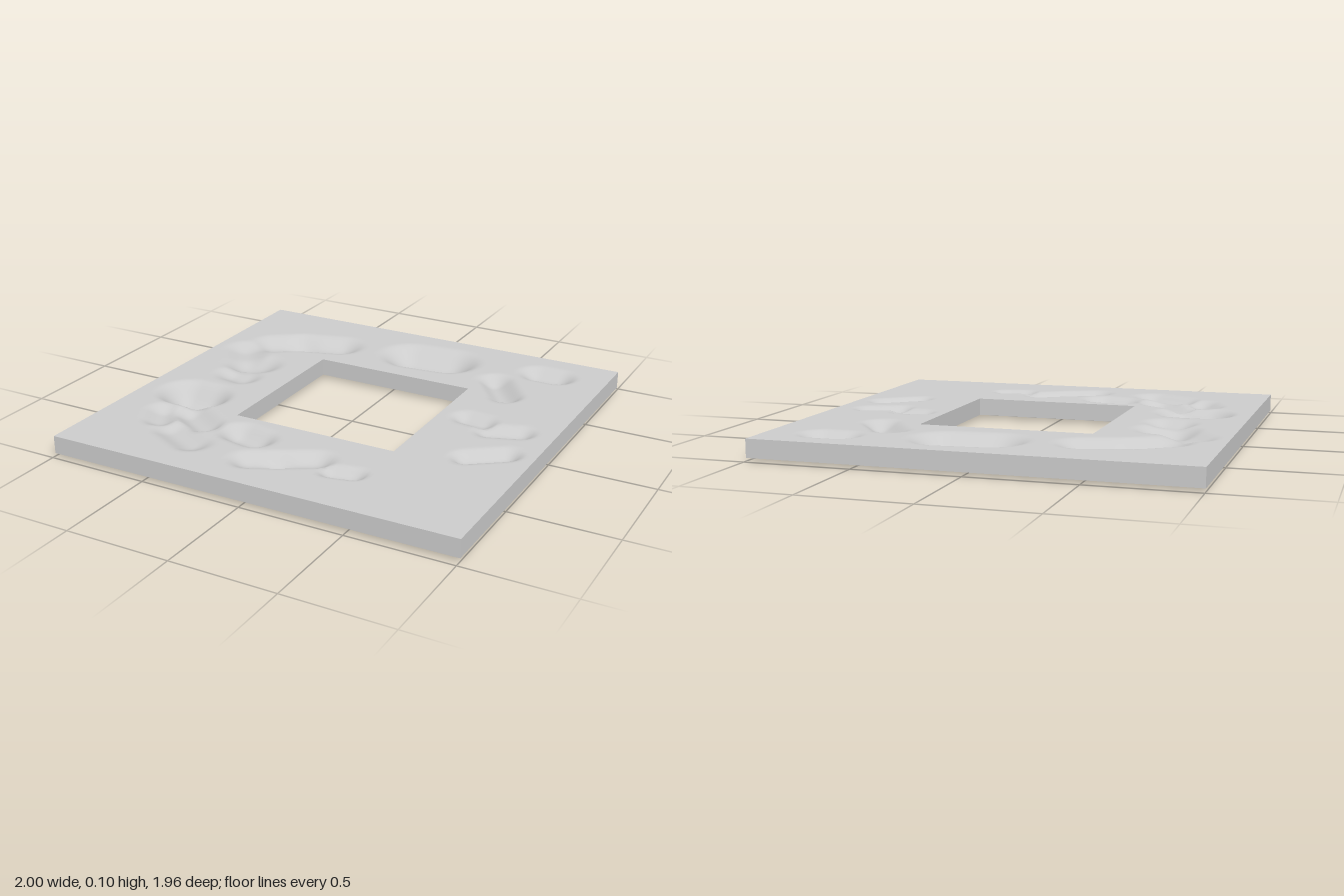
import * as THREE from 'three';
import { mergeGeometries, mergeVertices } from 'three/addons/utils/BufferGeometryUtils.js';

const TOP = 0.1, RIM = 0.015;
const X = [-1, -0.4, 0.42, 1];          // outer edge, opening, opening, outer edge
const Z = [-0.98, -0.42, 0.39, 0.972];

// Dents pressed into the top: [x1, z1, x2, z2, radius, depth]
const DENTS = [
  [-0.42, -0.64, -0.62, -0.58, 0.14, 0.05],
  [-0.62, -0.58, -0.74, -0.5, 0.14, 0.045],
  [-0.02, -0.69, 0.18, -0.71, 0.18, 0.08],
  [0.65, -0.77, 0.75, -0.77, 0.11, 0.045],
  [0.5, -0.58, 0.61, -0.43, 0.1, 0.05],
  [0.55, -0.1, 0.64, -0.09, 0.08, 0.035],
  [0.7, -0.01, 0.84, -0.06, 0.08, 0.035],
  [0.72, 0.29, 0.87, 0.18, 0.08, 0.04],
  [-0.83, -0.36, -0.72, -0.2, 0.13, 0.035],
  [-0.72, -0.2, -0.66, -0.21, 0.14, 0.045],
  [-0.7, -0.04, -0.64, -0.03, 0.11, 0.035],
  [-0.77, 0.27, -0.68, 0.27, 0.16, 0.1],
  [-0.62, 0.45, -0.49, 0.53, 0.11, 0.05],
  [-0.74, 0.5, -0.7, 0.58, 0.1, 0.035],
  [-0.58, 0.65, -0.42, 0.73, 0.11, 0.035],
  [-0.29, 0.54, -0.19, 0.56, 0.11, 0.055],
  [-0.1, 0.76, 0.02, 0.7, 0.1, 0.04],
  [0.02, 0.7, 0.16, 0.62, 0.1, 0.04],
  [0.27, 0.69, 0.37, 0.67, 0.07, 0.035],
];

// Combined depth of all the dents at one point
function dentDepth(x, z) {
  let sum = 0;
  for (const [x1, z1, x2, z2, radius, depth] of DENTS) {
    const dx = x2 - x1, dz = z2 - z1;
    const t = THREE.MathUtils.clamp(((x - x1) * dx + (z - z1) * dz) / (dx * dx + dz * dz), 0, 1);
    const d = Math.hypot(x - x1 - t * dx, z - z1 - t * dz) / radius;
    if (d < 1) sum += (depth * (1 - d * d) ** 2) ** 2;
  }
  return Math.min(Math.sqrt(sum), TOP);
}

// The front edge is slightly out of square
const skewZ = (x, z) => z - 0.008 * x * Math.max(0, (z - Z[2]) / (Z[3] - Z[2]));

// Eight subdivided blocks around the opening, welded into one dented sheet
function topSheet() {
  const blocks = [];
  for (let i = 0; i < 3; i++) {
    for (let j = 0; j < 3; j++) {
      if (i === 1 && j === 1) continue;
      const w = X[i + 1] - X[i], d = Z[j + 1] - Z[j];
      const block = new THREE.PlaneGeometry(w, d, 36, 36).rotateX(-Math.PI / 2)
        .translate(X[i] + w / 2, 0, Z[j] + d / 2);
      block.deleteAttribute('uv');
      block.deleteAttribute('normal');
      blocks.push(block);
    }
  }
  const sheet = mergeVertices(mergeGeometries(blocks), 1e-4);
  const p = sheet.attributes.position;
  for (let k = 0; k < p.count; k++) {
    const x = p.getX(k), z = p.getZ(k);
    p.setXYZ(k, x, TOP - dentDepth(x, z), skewZ(x, z));
  }
  sheet.computeVertexNormals();
  return sheet;
}

// Thin wall hanging from a closed outline of [x, z] corners
function skirt(outline) {
  const sides = outline.map(([ax, az], k) => {
    const [bx, bz] = outline[(k + 1) % outline.length];
    const g = new THREE.BufferGeometry();
    g.setAttribute('position', new THREE.Float32BufferAttribute(
      [ax, RIM, az, bx, RIM, bz, bx, TOP, bz, ax, TOP, az], 3));
    g.setIndex([0, 1, 2, 0, 2, 3]);
    g.computeVertexNormals();
    return g;
  });
  return mergeGeometries(sides);
}

export function createModel() {
  const group = new THREE.Group();
  group.name = 'dentedFrame';
  const material = new THREE.MeshStandardMaterial({ color: 0xcccccc, side: THREE.DoubleSide });
  const add = (name, geometry) => {
    const mesh = new THREE.Mesh(geometry, material);
    mesh.name = name;
    group.add(mesh);
  };

  add('dentedTop', topSheet());
  // Outer corners run anticlockwise seen from above, the opening clockwise
  add('outerWalls', skirt([[X[0], skewZ(X[0], Z[3])], [X[3], skewZ(X[3], Z[3])], [X[3], Z[0]], [X[0], Z[0]]]));
  add('openingWalls', skirt([[X[1], Z[1]], [X[2], Z[1]], [X[2], Z[2]], [X[1], Z[2]]]));
  return group;
}
